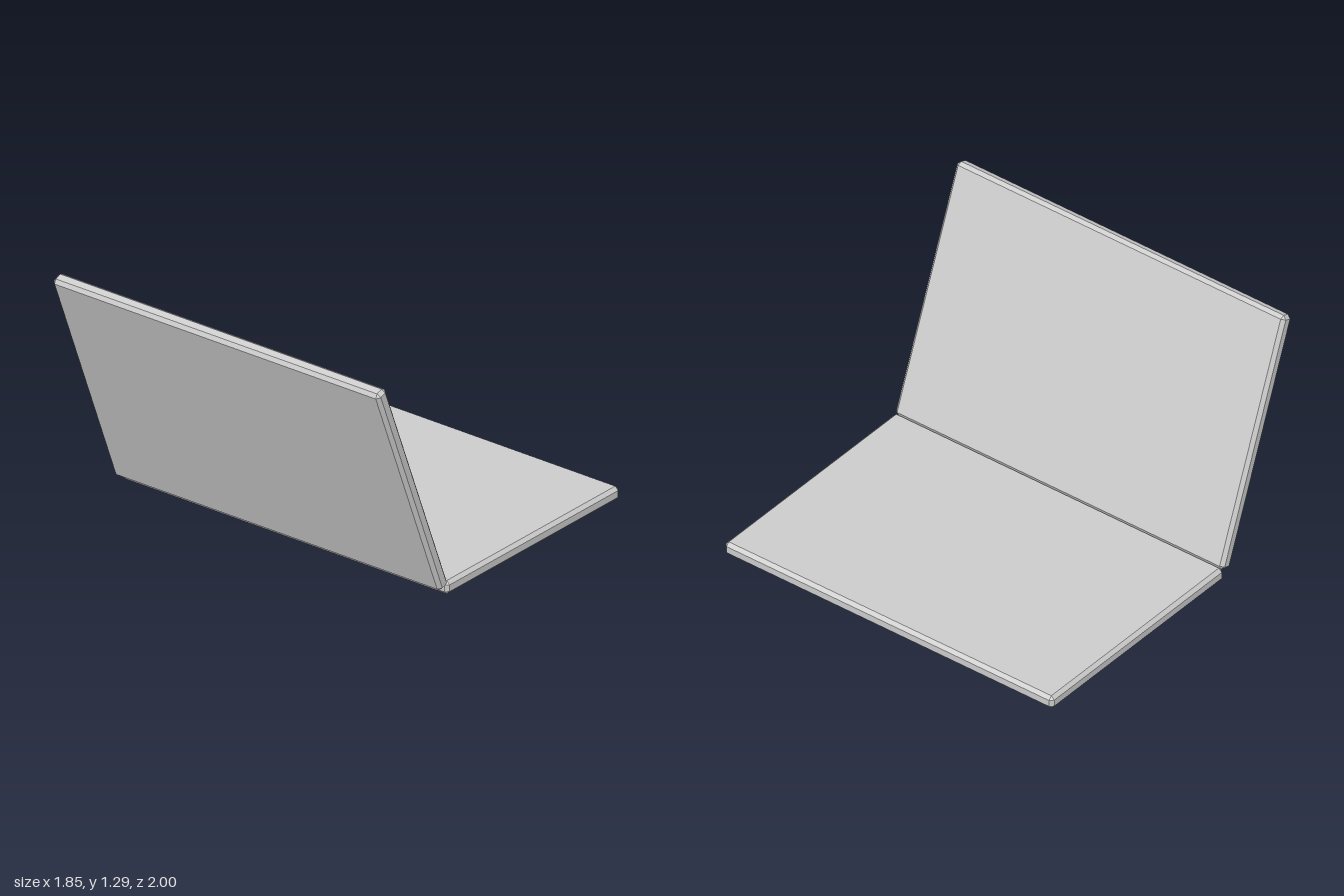
import * as THREE from 'three';
import { ConvexGeometry } from 'three/addons/geometries/ConvexGeometry.js';

const LENGTH = 1.325, THICKNESS = 0.072, WIDTH = 2, BEVEL = 0.018;

// Box with every edge cut by one flat bevel
function beveledSlab(w, h, d, b) {
  const points = [];
  for (const sx of [-1, 1]) for (const sy of [-1, 1]) for (const sz of [-1, 1]) {
    const x = w / 2, y = h / 2, z = d / 2;
    points.push(
      new THREE.Vector3(sx * x, sy * (y - b), sz * (z - b)),
      new THREE.Vector3(sx * (x - b), sy * y, sz * (z - b)),
      new THREE.Vector3(sx * (x - b), sy * (y - b), sz * z)
    );
  }
  return new ConvexGeometry(points);
}

export function createModel() {
  const group = new THREE.Group();
  group.name = 'openLaptop';
  const material = new THREE.MeshStandardMaterial({ color: 0xcccccc, flatShading: true });
  const slab = beveledSlab(LENGTH, THICKNESS, WIDTH, BEVEL);

  // Flat lower half
  const base = new THREE.Mesh(slab, material);
  base.name = 'base';
  base.position.set(0.925 - LENGTH / 2, THICKNESS / 2, 0);

  // Upper half, leaning back past vertical
  const lid = new THREE.Mesh(slab, material);
  lid.name = 'lid';
  lid.position.set(-0.656, 0.666, 0);
  lid.rotation.z = THREE.MathUtils.degToRad(90 + 21.4);

  group.add(base, lid);
  return group;
}
